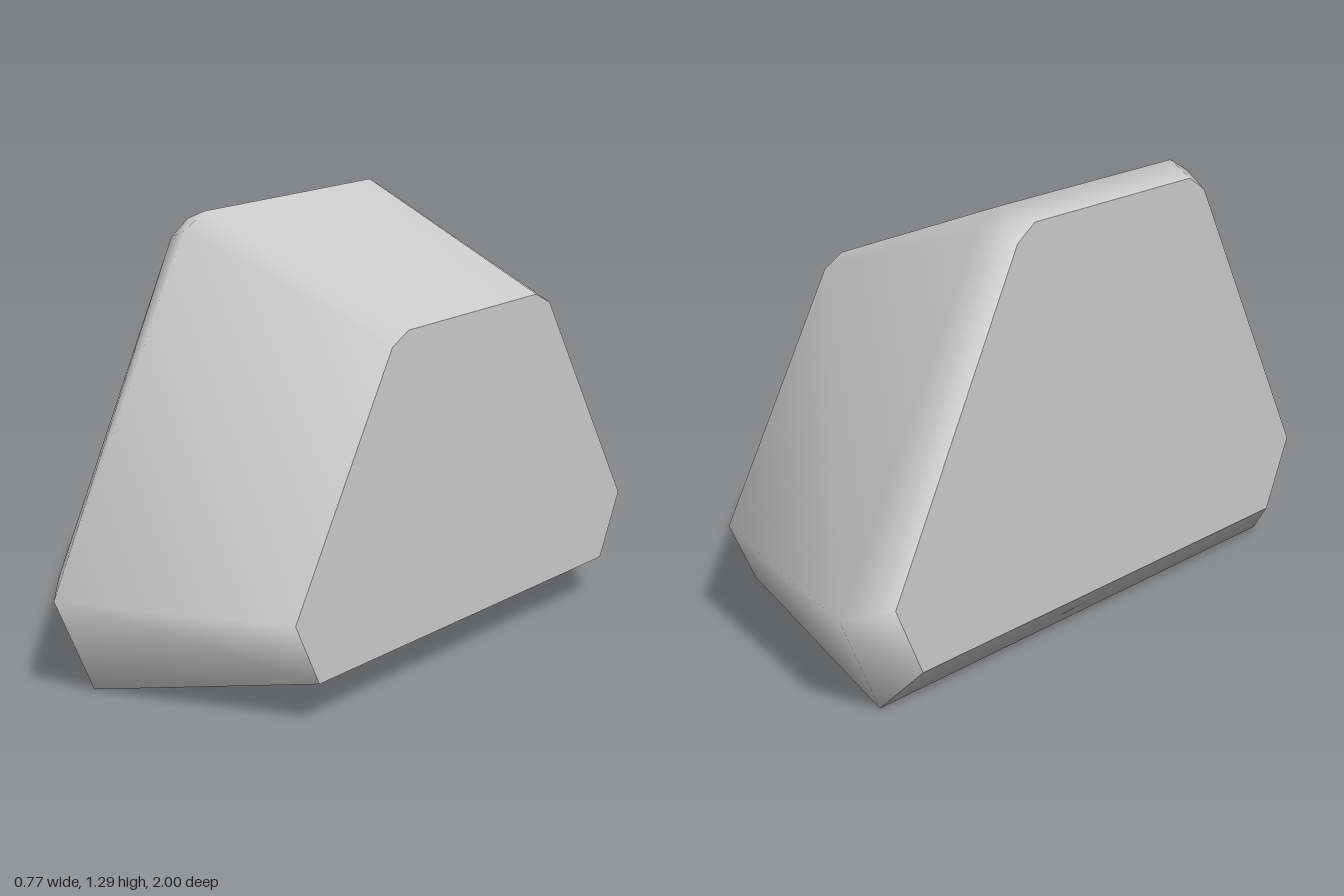
import * as THREE from 'three';

// Half cross-sections at three stations along x, as [z, y] from the bottom edge up.
const stations = [
  { x: -0.385, half: [[0.79, 0.11], [0.89, 0.32], [0.41, 1.21], [0.34, 1.255]] },
  { x: -0.29, half: [[0.86, 0], [1, 0.3], [0.455, 1.245], [0.37, 1.29]] },
  { x: 0.385, half: [[0.68, 0.13], [0.775, 0.32], [0.37, 0.995], [0.3, 1.03]] },
];

// Mirror each half section into a full outline running from +z over the top to -z.
const rings = stations.map(({ x, half }) => [
  ...half.map(([z, y]) => [x, y, z]),
  ...half.slice().reverse().map(([z, y]) => [x, y, -z]),
]);

function makeGeometry(points, index) {
  const geometry = new THREE.BufferGeometry();
  geometry.setAttribute('position', new THREE.Float32BufferAttribute(points.flat(), 3));
  geometry.setIndex(index);
  geometry.computeVertexNormals();
  return geometry;
}

// Smooth skin between successive rows of points.
function skin(rows) {
  const n = rows[0].length;
  const index = [];
  for (let i = 0; i < rows.length - 1; i++) {
    for (let j = 0; j < n - 1; j++) {
      const a = i * n + j;
      const b = a + n;
      index.push(a, b, a + 1, b, b + 1, a + 1);
    }
  }
  return makeGeometry(rows.flat(), index);
}

// Flat end face over one outline.
function cap(ring, flip) {
  const index = [];
  for (let k = 1; k < ring.length - 1; k++) {
    index.push(0, flip ? k + 1 : k, flip ? k : k + 1);
  }
  return makeGeometry(ring, index);
}

export function createModel() {
  const group = new THREE.Group();
  group.name = 'taperedBlock';
  const grey = new THREE.MeshStandardMaterial({ color: 0xcccccc });
  grey.name = 'lightGrey';

  const add = (name, geometry) => {
    const mesh = new THREE.Mesh(geometry, grey);
    mesh.name = name;
    group.add(mesh);
  };

  add('sidesAndTop', skin(rings));
  add('underside', skin(rings.map((r) => [r[r.length - 1], r[0]])));
  add('bevelledEnd', cap(rings[0], false));
  add('narrowEnd', cap(rings[2], true));
  return group;
}
